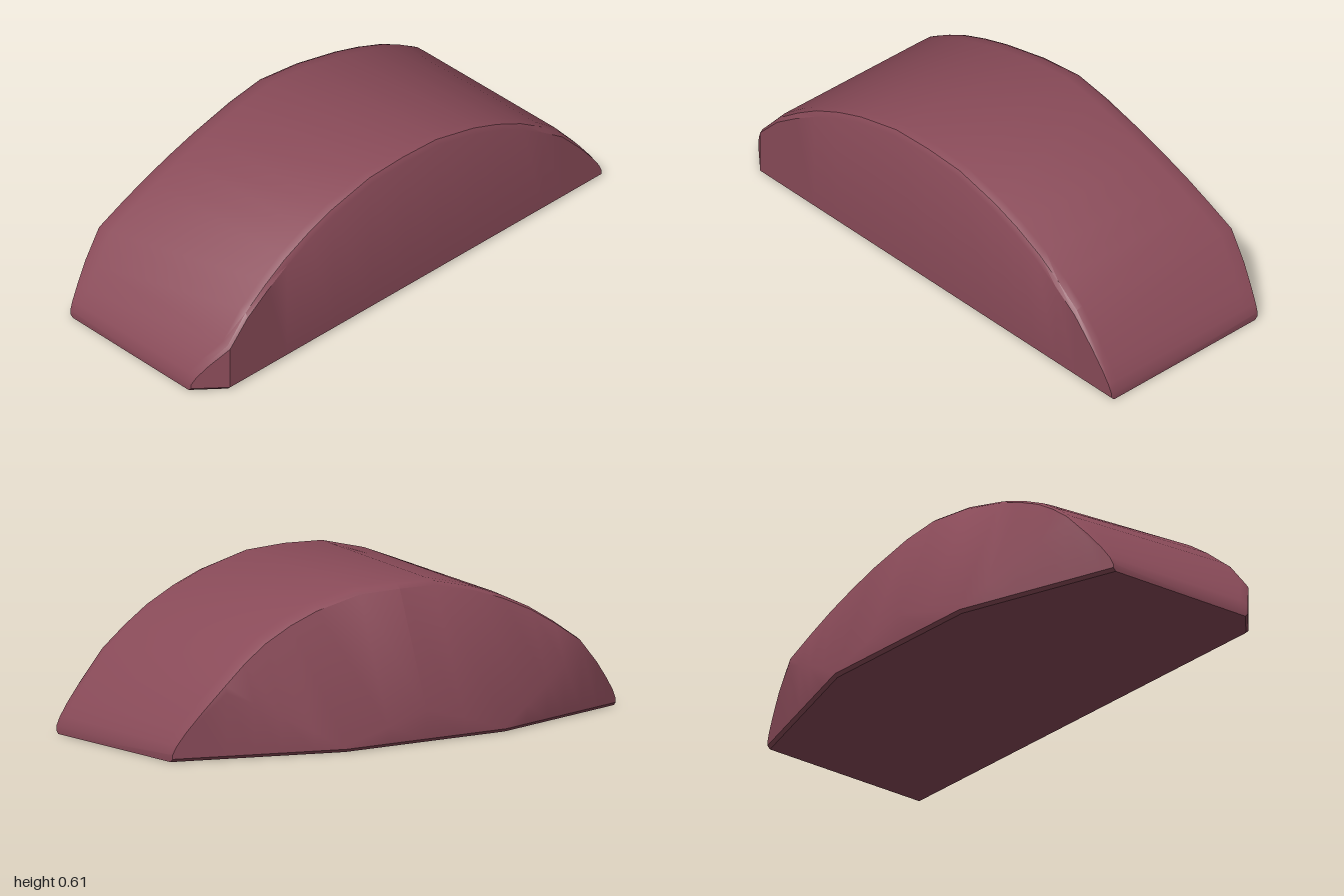
import * as THREE from 'three';
import { toCreasedNormals } from 'three/addons/utils/BufferGeometryUtils.js';

// Half of the arch outline: [distance from centre, height]
const ARCH = [[0, 0.61], [0.17, 0.603], [0.36, 0.556], [0.48, 0.51], [0.6, 0.45],
  [0.7, 0.383], [0.8, 0.305], [0.89, 0.2], [0.95, 0.12], [0.985, 0.065], [1, 0.03]];

// Back wall: an upright base, a leaning centre and two swept sides
const wallZ = (x) => Math.max(-0.47, -0.47 + 0.32 * (Math.abs(x) - 0.36));
const backZ = (x, y) => Math.max(wallZ(x), -0.47 + 0.395 * (y - 0.12) + 0.11 * Math.abs(x));

// Closed front-to-back section at one x, as [z, y]
function section(x, top) {
  const front = x < -0.89 ? 0.467 + (x + 0.89) * 0.85 : 0.467; // one clipped front corner
  const low = Math.min(0.012, top * 0.4);
  const rear = top * 0.93;
  const rim = rear * 0.965;
  const rimZ = backZ(x, rim);
  const fold = 0.12 + (wallZ(x) + 0.47 - 0.11 * Math.abs(x)) / 0.395;
  const foldY = THREE.MathUtils.clamp(fold, low * 1.2, rim * 0.9);
  return [
    [front - 0.012, 0], [front, low], [front, Math.max(top * 0.93, top - 0.03)],
    [front - 0.012, top * 0.982], [front - 0.04, top],
    [rimZ + 0.06, rear], [rimZ + 0.02, rear * 0.99], [rimZ, rim],
    [backZ(x, foldY), foldY], [backZ(x, low), low], [backZ(x, 0) + 0.012, 0],
  ];
}

export function createModel() {
  // Columns from the right end to the left end
  const outline = [...ARCH.slice(1).reverse().map(([x, y]) => [-x, y]), ...ARCH];
  const positions = [];
  for (const [x, top] of outline) {
    for (const [z, y] of section(x, top)) positions.push(x, y, z);
  }
  const n = positions.length / 3 / outline.length;
  const index = [];
  for (let i = 0; i < outline.length - 1; i++) {
    for (let j = 0; j < n; j++) {
      const a = i * n + j, b = i * n + (j + 1) % n;
      index.push(a, a + n, b, b, a + n, b + n);
    }
  }
  // End caps
  const last = (outline.length - 1) * n;
  for (let j = 1; j < n - 1; j++) {
    index.push(0, j, j + 1, last, last + j + 1, last + j);
  }

  const geometry = new THREE.BufferGeometry();
  geometry.setAttribute('position', new THREE.Float32BufferAttribute(positions, 3));
  geometry.setIndex(index);
  const block = new THREE.Mesh(toCreasedNormals(geometry, 0.6),
    new THREE.MeshStandardMaterial({ color: 0x8a4b59 }));
  block.name = 'archedBlock';

  const group = new THREE.Group();
  group.name = 'archedStone';
  group.add(block);
  return group;
}
